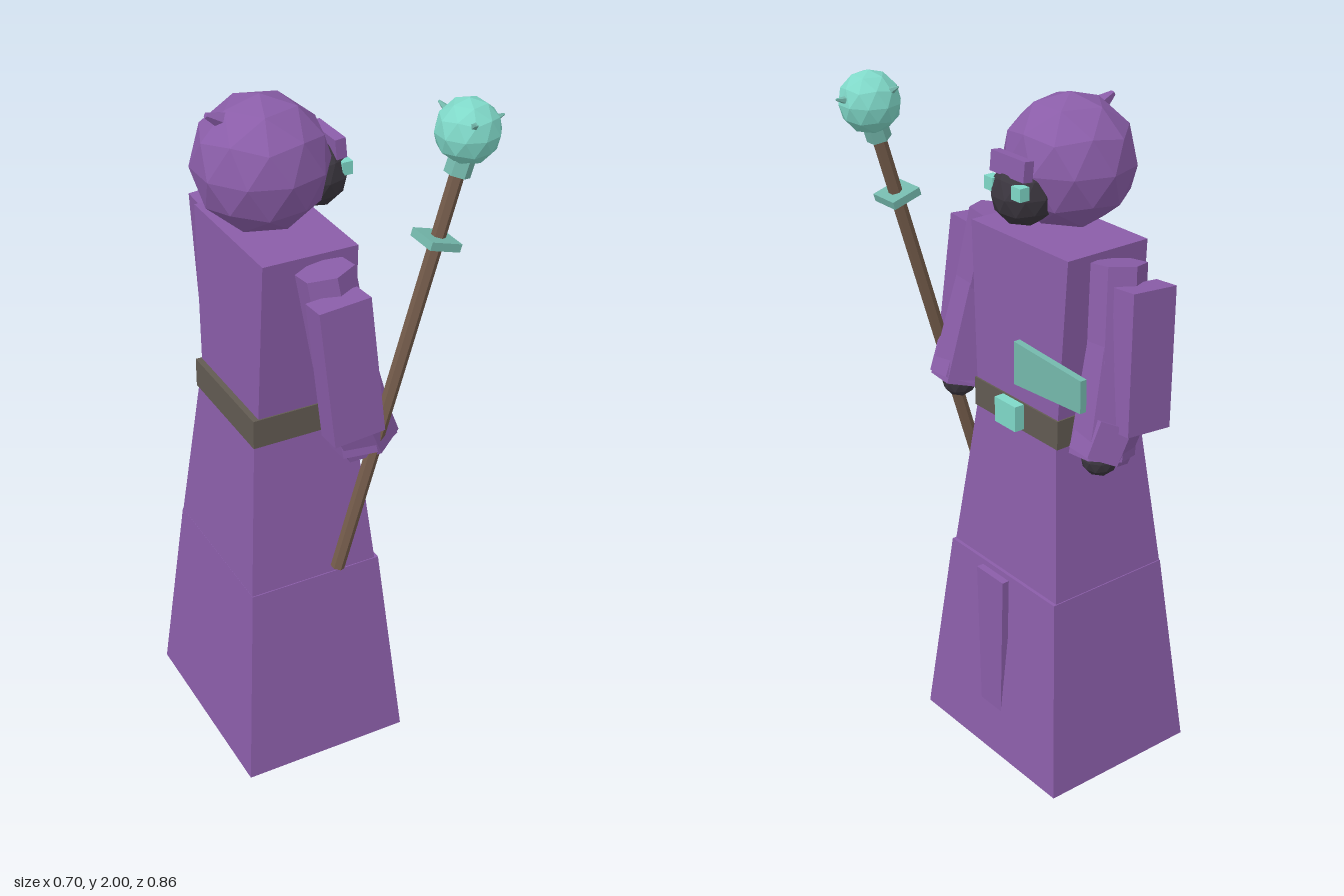
import * as THREE from 'three';

const mat = (name, color, flat = true) => {
  const m = new THREE.MeshStandardMaterial({ color, flatShading: flat });
  m.name = name;
  return m;
};

export function createModel() {
  const root = new THREE.Group();
  root.name = 'robedFigure';
  const purple = mat('robePurple', 0x8a5da8);
  const belt = mat('beltLeather', 0x625b52);
  const dark = mat('shadowDark', 0x3b363f);
  const teal = mat('brightTeal', 0x7fd8c8);
  const dullTeal = mat('dullTeal', 0x74b8ac);
  const wood = mat('staffWood', 0x735b4a);
  const CX = -0.1, CZ = -0.015;

  const add = (name, geo, material, x = 0, y = 0, z = 0) => {
    const m = new THREE.Mesh(geo, material);
    m.name = name;
    m.position.set(x, y, z);
    root.add(m);
    return m;
  };

  // Box whose bottom and top have different widths and depths
  const taper = (h, w0, d0, w1, d1) => {
    const g = new THREE.BoxGeometry(1, h, 1);
    const p = g.attributes.position;
    for (let i = 0; i < p.count; i++) {
      const low = p.getY(i) < 0;
      p.setX(i, p.getX(i) * (low ? w0 : w1));
      p.setZ(i, p.getZ(i) * (low ? d0 : d1));
    }
    g.computeVertexNormals();
    return g;
  };

  // Low-poly ball with a vertex at the top
  const ball = (r) => new THREE.IcosahedronGeometry(r, 1).rotateZ(Math.atan(2 / (1 + Math.sqrt(5))));

  // Places a mesh so its y axis runs from a to b
  const between = (name, a, b, makeGeo, material) => {
    const A = new THREE.Vector3(...a), B = new THREE.Vector3(...b);
    const d = B.clone().sub(A);
    const m = add(name, makeGeo(d.length()), material);
    m.position.copy(A).add(B).multiplyScalar(0.5);
    m.quaternion.setFromUnitVectors(new THREE.Vector3(0, 1, 0), d.normalize());
    return m;
  };
  const rod = (name, a, b, r0, r1, sides, material, sx = 1) =>
    between(name, a, b, (h) => new THREE.CylinderGeometry(r1, r0, h, sides).scale(sx, 1, 1), material);

  // Robe
  add('lowerSkirt', taper(0.6, 0.5, 0.61, 0.396, 0.472), purple, CX, 0.3, CZ);
  add('upperSkirt', taper(0.45, 0.385, 0.466, 0.3, 0.35), purple, CX - 0.005, 0.825, CZ);
  add('torso', taper(0.46, 0.284, 0.355, 0.27, 0.407), purple, CX, 1.36, CZ);
  add('skirtFlap', taper(0.5, 0.022, 0.09, 0.022, 0.12), purple, 0.126, 0.35, -0.01);

  // Belt, buckle and chest plate
  add('belt', new THREE.BoxGeometry(0.306, 0.085, 0.364), belt, -0.106, 1.09, CZ);
  add('buckle', new THREE.BoxGeometry(0.035, 0.075, 0.09), teal, 0.06, 1.092, -0.008);
  add('chestPlate', taper(0.275, 0.02, 0.092, 0.02, 0.125).rotateX(Math.PI / 2), dullTeal, 0.075, 1.267, -0.196);

  // Head
  add('hood', ball(0.182), purple, -0.137, 1.773, CZ);
  rod('hoodTip', [-0.2, 1.885, CZ], [-0.283, 1.925, CZ], 0.038, 0.008, 5, purple);
  add('face', ball(0.09), dark, 0.012, 1.715, -0.01);
  const brow = add('brow', new THREE.BoxGeometry(0.03, 0.055, 0.14), purple, 0.056, 1.795, CZ);
  brow.rotation.z = 0.1;
  for (const s of [1, -1]) {
    add('eye', new THREE.BoxGeometry(0.03, 0.036, 0.036), teal, 0.073, 1.74, CZ + s * 0.057);
  }

  // Arms
  for (const s of [1, -1]) {
    const z = (o) => CZ + s * o;
    rod('upperArm', [-0.055, 1.32, z(0.292)], [-0.09, 1.575, z(0.258)], 0.07, 0.068, 6, purple, 1.15);
    rod('forearmSleeve', [0.0, 1.075, z(0.31)], [-0.06, 1.37, z(0.285)], 0.079, 0.066, 6, purple, 1.2);
    rod('sleeveCuff', [0.012, 1.075, z(0.31)], [-0.03, 1.17, z(0.315)], 0.075, 0.078, 6, purple, 1.2);
    between('sleeveDrape', [-0.068, 1.155, z(0.377)], [-0.1, 1.535, z(0.348)],
      (h) => new THREE.BoxGeometry(0.145, h, 0.075), purple);
    add('hand', ball(0.052), dark, 0.008, 1.07, z(0.31));
  }

  // Staff
  const SZ = 0.348;
  rod('staffShaft', [-0.103, 0.725, SZ], [0.222, 1.83, SZ], 0.019, 0.019, 6, wood);
  const tilt = -Math.atan2(0.325, 1.105);
  const plate = add('staffPlate', new THREE.BoxGeometry(0.09, 0.022, 0.095), dullTeal, 0.165, 1.645, SZ);
  plate.rotation.z = tilt;
  rod('orbSocket', [0.215, 1.81, SZ], [0.228, 1.85, SZ], 0.034, 0.034, 6, dullTeal);
  add('orb', ball(0.084), teal, 0.245, 1.916, 0.341);
  const spikes = [[0.1, 0.022, 0], [-0.032, 0.05, 0.084], [-0.032, 0.05, -0.084]];
  for (const [x, y, z] of spikes) {
    const at = (k) => [0.245 + x * k, 1.916 + y * k, 0.341 + z * k];
    rod('orbSpike', at(0.7), at(1.02), 0.012, 0.003, 5, dullTeal);
  }

  return root;
}
